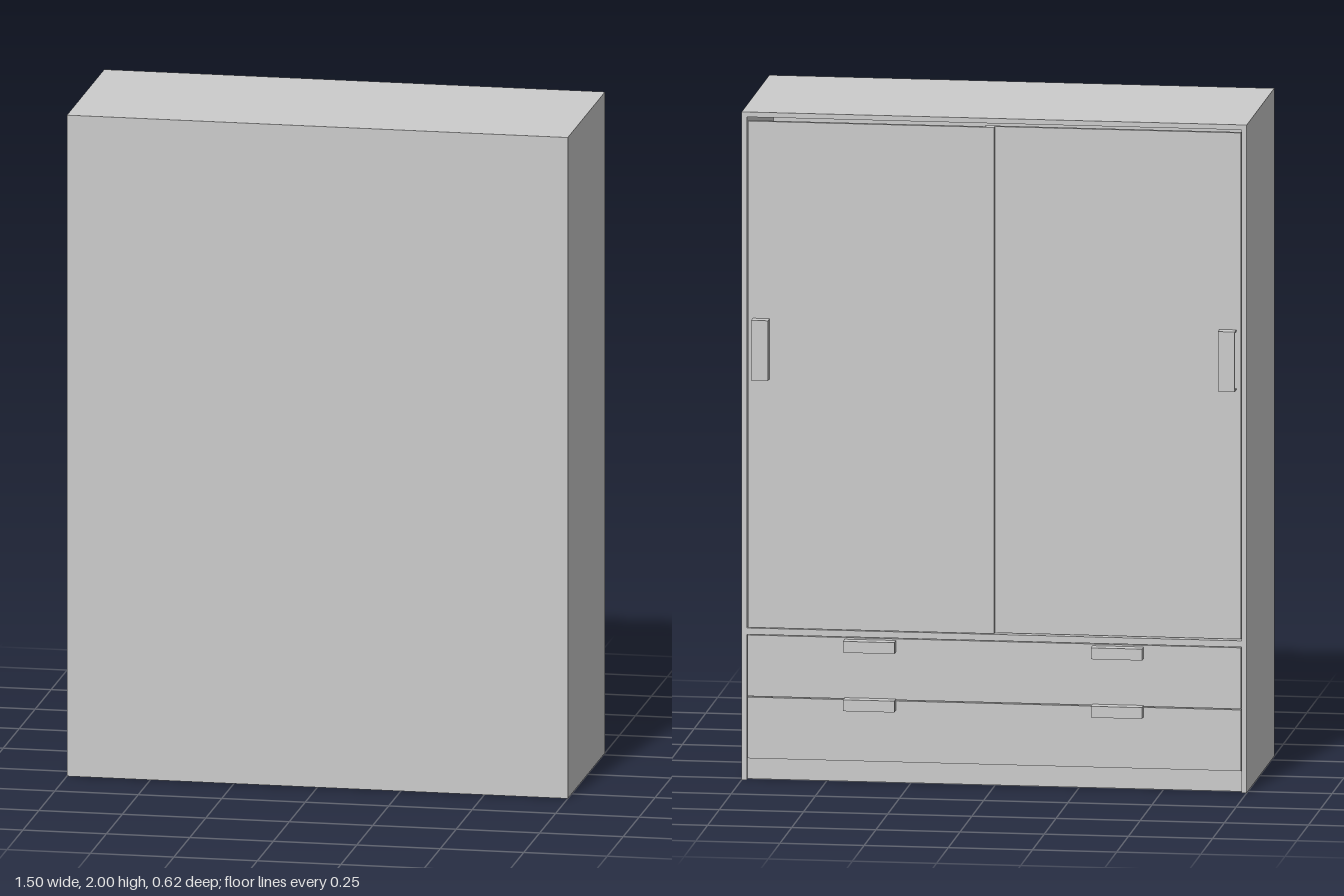
import * as THREE from 'three';

const material = new THREE.MeshStandardMaterial({ color: 0xcccccc });

// Box given by its limits on each axis
function board(parent, name, [x0, x1], [y0, y1], [z0, z1]) {
  const mesh = new THREE.Mesh(new THREE.BoxGeometry(x1 - x0, y1 - y0, z1 - z0), material);
  mesh.position.set((x0 + x1) / 2, (y0 + y1) / 2, (z0 + z1) / 2);
  mesh.name = name;
  parent.add(mesh);
  return mesh;
}

// Hollow cup pull, open underneath, standing out towards -z from its origin
function cupHandle(name, length, height) {
  const handle = new THREE.Group();
  handle.name = name;
  const t = 0.005, depth = 0.035, l = length / 2, h = height / 2;
  board(handle, 'handleFace', [-l, l], [-h, h], [-depth, -depth + t]);
  board(handle, 'handleTop', [-l, l], [h - t, h], [-depth + t, 0]);
  for (const s of [-1, 1]) {
    const x = s * (l - t / 2);
    board(handle, 'handleEnd', [x - t / 2, x + t / 2], [-h, h - t], [-depth + t, 0]);
  }
  return handle;
}

export function createModel() {
  const wardrobe = new THREE.Group();
  wardrobe.name = 'wardrobe';
  const W = 0.75, side = 0.015, inner = W - side;
  const face = -0.275, back = 0.31, backInner = 0.295;

  // Carcass
  board(wardrobe, 'backPanel', [-W, W], [0, 2], [backInner, back]);
  board(wardrobe, 'topPanel', [-W, W], [1.985, 2], [face, backInner]);
  for (const s of [-1, 1]) {
    const x = s * (W - side / 2);
    board(wardrobe, 'sidePanel', [x - side / 2, x + side / 2], [0, 1.985], [face, backInner]);
  }
  board(wardrobe, 'basePanel', [-inner, inner], [0, 0.015], [-0.255, backInner]);
  board(wardrobe, 'plinth', [-inner, inner], [0.015, 0.065], [-0.255, -0.24]);
  board(wardrobe, 'middleShelf', [-inner, inner], [0.436, 0.455], [face, backInner]);

  // Sliding doors, the second running behind the first
  board(wardrobe, 'outerDoor', [0, inner - 0.004], [0.457, 1.973], [face, -0.261]);
  board(wardrobe, 'innerDoor', [-inner + 0.004, 0.03], [0.457, 1.973], [-0.26, -0.246]);

  // Door pulls, each open towards its outer edge
  for (const [s, z] of [[1, face], [-1, -0.26]]) {
    const handle = cupHandle('doorHandle', 0.18, 0.05);
    handle.rotation.z = s * Math.PI / 2;
    handle.position.set(s * 0.692, 1.293, z);
    wardrobe.add(handle);
  }

  // Two full-width drawers with a pair of pulls each
  for (const y of [0.065, 0.251]) {
    board(wardrobe, 'drawerFront', [-inner + 0.002, inner - 0.002], [y, y + 0.183], [face, -0.26]);
    for (const x of [-0.368, 0.368]) {
      const handle = cupHandle('drawerHandle', 0.152, 0.034);
      handle.position.set(x, y + 0.172, face);
      if (y > 0.2) handle.position.y = 0.412;
      wardrobe.add(handle);
    }
  }
  return wardrobe;
}
